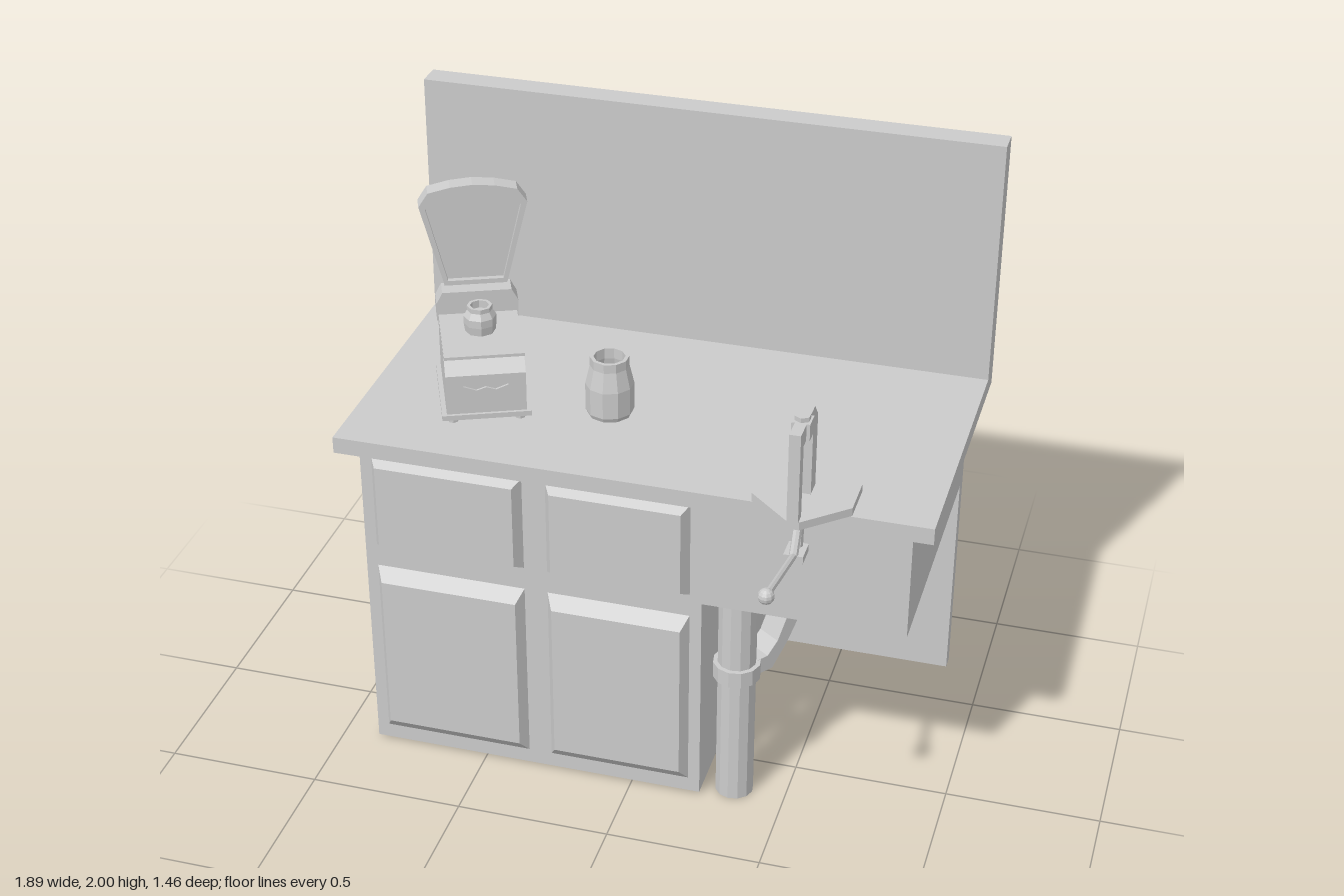
import * as THREE from 'three';

const material = new THREE.MeshStandardMaterial({ color: 0xcccccc, flatShading: true, side: THREE.DoubleSide });

function add(parent, name, geometry, x = 0, y = 0, z = 0) {
  const mesh = new THREE.Mesh(geometry, material);
  mesh.name = name;
  mesh.position.set(x, y, z);
  parent.add(mesh);
  return mesh;
}

// Box given by its limits on each axis
function block(parent, name, [x0, x1], [y0, y1], [z0, z1]) {
  return add(parent, name, new THREE.BoxGeometry(x1 - x0, y1 - y0, z1 - z0),
    (x0 + x1) / 2, (y0 + y1) / 2, (z0 + z1) / 2);
}

// Polygon extruded by depth, centred on its thickness
function prism(points, depth, holes = []) {
  const shape = new THREE.Shape(points.map(p => new THREE.Vector2(...p)));
  for (const h of holes) shape.holes.push(new THREE.Path(h.map(p => new THREE.Vector2(...p))));
  return new THREE.ExtrudeGeometry(shape, { depth, bevelEnabled: false }).translate(0, 0, -depth / 2);
}

// Straight round bar between two points
function rod(parent, name, a, b, radius) {
  const from = new THREE.Vector3(...a), to = new THREE.Vector3(...b);
  const mesh = add(parent, name, new THREE.CylinderGeometry(radius, radius, from.distanceTo(to), 8));
  mesh.position.copy(from).lerp(to, 0.5);
  mesh.quaternion.setFromUnitVectors(new THREE.Vector3(0, 1, 0), to.sub(from).normalize());
}

function lathe(points, sides) {
  return new THREE.LatheGeometry(points.map(p => new THREE.Vector2(...p)), sides);
}

// Raised panel whose front face is inset by ix and iy
function panel(parent, name, [x0, x1], [y0, y1], ix, iy) {
  const mesh = block(parent, name, [x0, x1], [y0, y1], [0.22, 0.26]);
  const p = mesh.geometry.attributes.position;
  for (let i = 0; i < p.count; i++) {
    if (p.getZ(i) > 0) p.setXY(i, p.getX(i) - Math.sign(p.getX(i)) * ix, p.getY(i) - Math.sign(p.getY(i)) * iy);
  }
}

function makeCabinet() {
  const g = new THREE.Group();
  g.name = 'cabinet';
  block(g, 'cupboard', [-0.88, 0.23], [0.01, 1.13], [-0.73, 0.225]);
  block(g, 'upperCase', [0.23, 0.875], [0.75, 1.13], [-0.73, 0.225]);
  block(g, 'kneeSpaceBack', [0.23, 0.875], [0.01, 0.75], [-0.73, -0.68]);
  block(g, 'worktop', [-0.945, 0.945], [1.13, 1.185], [-0.73, 0.275]);
  block(g, 'backboard', [-0.945, 0.945], [1.185, 2], [-0.73, -0.645]);
  for (const xs of [[-0.845, -0.345], [-0.275, 0.195]]) {
    panel(g, 'drawerFront', xs, [0.775, 1.11], 0.025, 0.025);
    panel(g, 'door', xs, [0.055, 0.705], 0.025, 0.05);
  }
  return g;
}

function makeSeat() {
  const g = new THREE.Group();
  g.name = 'swingSeat';
  g.position.set(0.33, 0, 0.155);
  g.rotation.y = Math.atan2(0.39, 0.285); // local +x runs along the arm
  add(g, 'post', new THREE.CylinderGeometry(0.062, 0.062, 0.75, 12), 0, 0.375, 0);
  add(g, 'collar', new THREE.CylinderGeometry(0.077, 0.077, 0.055, 12), 0, 0.482, 0);
  add(g, 'arm', prism([[0.05, 0.455], [0.11, 0.455], [0.17, 0.53], [0.23, 0.63], [0.3, 0.64], [0.42, 0.65],
    [0.42, 0.7], [0.24, 0.705], [0.19, 0.675], [0.13, 0.55], [0.09, 0.51], [0.05, 0.51]], 0.085));
  add(g, 'seat', new THREE.CylinderGeometry(0.21, 0.21, 0.072, 8).rotateY(Math.PI / 8), 0.483, 0.678, 0);
  return g;
}

function makePress() {
  const g = new THREE.Group();
  g.name = 'press';
  g.position.x = 0.545;
  const base = prism([[-0.153, -0.135], [0.153, -0.135], [0.153, -0.275], [0.02, -0.395], [-0.02, -0.395], [-0.153, -0.275]], 0.027);
  add(g, 'basePlate', base.rotateX(-Math.PI / 2), 0, 1.202, 0);
  // Arch drawn in the side plane (z, y)
  const arch = prism([[0.4, 1.215], [0.4, 1.51], [0.22, 1.51], [0.175, 1.46], [0.175, 1.215], [0.235, 1.215],
    [0.235, 1.43], [0.26, 1.455], [0.36, 1.455], [0.36, 1.215]], 0.035);
  add(g, 'arch', arch.rotateY(-Math.PI / 2));
  block(g, 'archCap', [-0.028, 0.028], [1.455, 1.51], [0.275, 0.33]);
  add(g, 'nut', new THREE.CylinderGeometry(0.025, 0.025, 0.016, 6), 0, 1.517, 0.303);
  // Linkage and handle under the plate
  rod(g, 'plunger', [0, 1.06, 0.312], [0, 1.2, 0.298], 0.016);
  rod(g, 'link', [0, 1.075, 0.365], [0, 1.18, 0.3], 0.014);
  block(g, 'pivotBlock', [-0.03, 0.03], [1.055, 1.08], [0.295, 0.37]);
  rod(g, 'handle', [0, 1.075, 0.36], [0, 1.16, 0.71], 0.011);
  add(g, 'knob', new THREE.SphereGeometry(0.025, 10, 8), 0, 1.16, 0.71);
  return g;
}

function makeScale() {
  const g = new THREE.Group();
  g.name = 'weighingScale';
  g.position.set(-0.59, 0, -0.12);
  g.rotation.y = 0.41;
  for (const x of [-0.105, 0.105]) for (const z of [-0.11, 0.165]) {
    add(g, 'foot', new THREE.CylinderGeometry(0.016, 0.016, 0.025, 8), x, 1.197, z);
  }
  block(g, 'base', [-0.14, 0.14], [1.205, 1.222], [-0.15, 0.2]);
  // Housing drawn in the side plane (z, y), sloping up to the platform
  const housing = prism([[0.19, 1.222], [0.19, 1.355], [0.14, 1.392], [-0.14, 1.392], [-0.14, 1.222]], 0.25);
  add(g, 'housing', housing.rotateY(-Math.PI / 2));
  add(g, 'frontTrim', prism([[-0.07, 1.32], [-0.03, 1.305], [0, 1.315], [0.03, 1.305], [0.07, 1.32], [0, 1.288]], 0.01), 0, 0, 0.192);
  block(g, 'platform', [-0.125, 0.125], [1.402, 1.412], [-0.12, 0.17]);
  add(g, 'platformSupport', new THREE.CylinderGeometry(0.04, 0.04, 0.02, 8), 0, 1.395, 0);
  add(g, 'weight', lathe([[0, 1.412], [0.048, 1.412], [0.052, 1.44], [0.052, 1.465], [0.04, 1.485], [0.04, 1.5],
    [0.03, 1.5], [0.03, 1.475], [0, 1.475]], 8));
  // Fan-shaped dial with a raised rim
  const fan = [[-0.1, 1.39], [-0.1, 1.5], [-0.17, 1.775], [-0.14, 1.82], [-0.07, 1.836], [0, 1.842],
    [0.07, 1.836], [0.14, 1.82], [0.17, 1.775], [0.1, 1.5], [0.1, 1.39]];
  const rim = fan.slice(1, -1);
  const inner = rim.map(([x, y]) => [x * 0.88, 1.66 + (y - 1.66) * 0.92]);
  add(g, 'dialBack', prism(fan, 0.04), 0, 0, -0.185);
  add(g, 'dialRim', prism(rim, 0.02, [inner]), 0, 0, -0.157);
  add(g, 'neck', prism([[-0.13, 1.392], [-0.13, 1.45], [-0.11, 1.488], [0.11, 1.488], [0.13, 1.45], [0.13, 1.392]], 0.07), 0, 0, -0.15);
  return g;
}

export function createModel() {
  const model = new THREE.Group();
  model.name = 'shopCounter';
  model.add(makeCabinet(), makeSeat(), makePress(), makeScale());
  add(model, 'jar', lathe([[0, 1.185], [0.07, 1.185], [0.077, 1.2], [0.077, 1.29], [0.062, 1.355], [0.062, 1.385],
    [0.05, 1.385], [0.05, 1.35], [0.062, 1.29], [0.062, 1.21], [0, 1.21]], 10), -0.165, 0, -0.115);
  return model;
}
